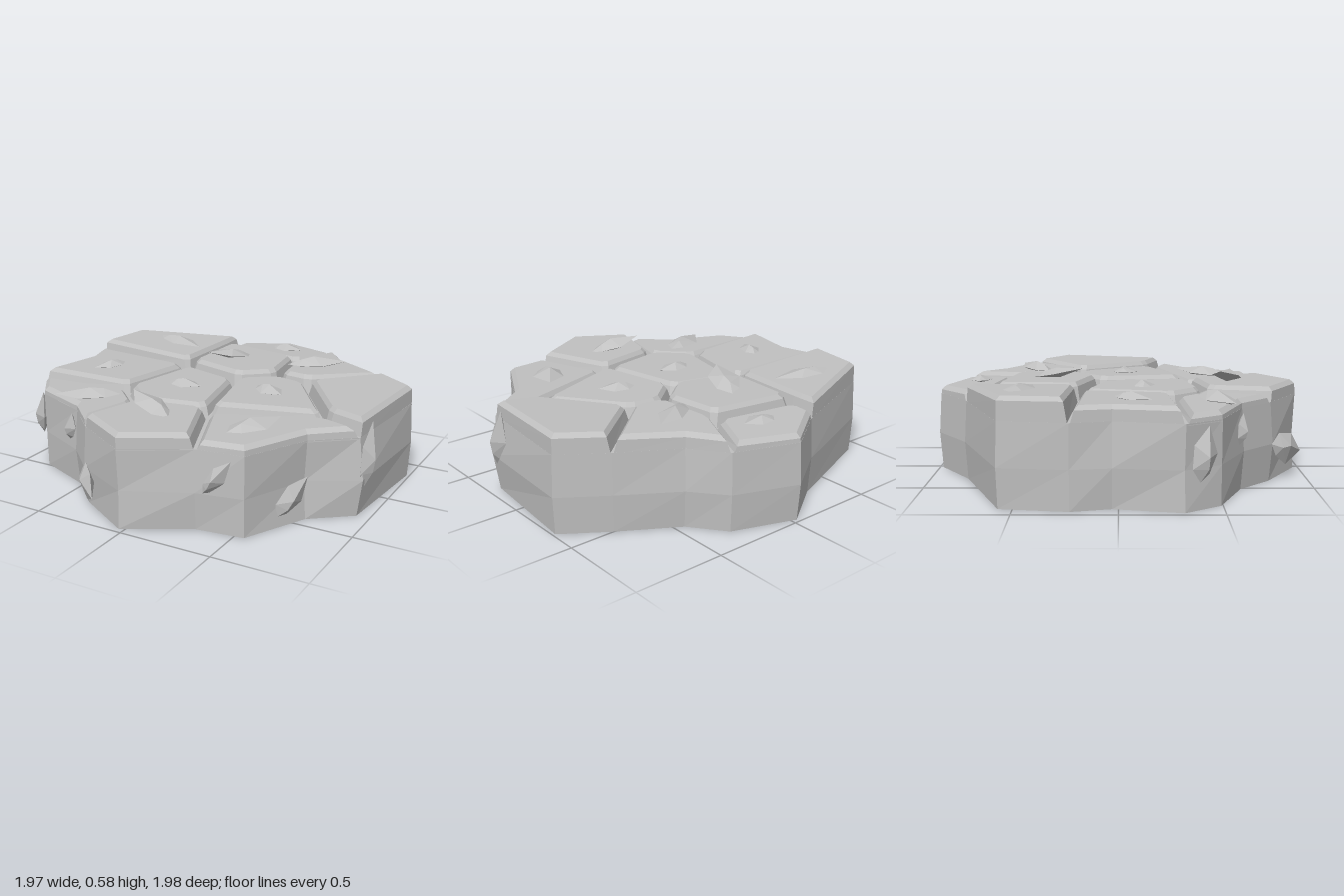
import * as THREE from 'three';
import { ConvexGeometry } from 'three/addons/geometries/ConvexGeometry.js';

const stone = new THREE.MeshStandardMaterial({ color: 0xc0c0c0 });
stone.name = 'grey stone';

// rim of the slab as [x, z], running back, +x, front, -x
const rim = [
  [-0.03, -0.98], [0.31, -0.86], [0.45, -0.68], [0.75, -0.5], [0.985, -0.34], [0.93, 0.27],
  [0.72, 0.43], [0.55, 0.76], [0.3, 0.79], [-0.03, 0.97], [-0.34, 0.79], [-0.52, 0.62],
  [-0.84, 0.49], [-0.97, 0.31], [-0.9, -0.03], [-0.95, -0.23], [-0.9, -0.57], [-0.3, -0.8],
];
// how far the wall bulges at mid height, per rim point
const bulge = [0.015, 0.01, 0.02, 0.01, 0.01, 0.03, -0.02, 0, 0.02, -0.01, 0.02, 0.02, 0, -0.01, 0.02, 0, 0.01, 0.015];

// points where the cracks meet
const joints = {
  a: [-0.3, -0.67], b: [0.19, -0.59], c: [0.23, -0.25], d: [0.045, -0.1], e: [-0.325, -0.205],
  f: [-0.43, 0.28], g: [-0.25, 0.455], h: [0.14, 0.385], i: [0.71, 0.19], j: [0.42, -0.22],
};

// paving cells: corners (numbers = rim, letters = joints), height, slope in x and z
const cells = [
  ['back', [17, 0, 1, 'b', 'a'], 0.475, 0, 0.06],
  ['backRight', [17, 'a', 'e', 15, 16], 0.525, -0.04, 0],
  ['innerBack', ['a', 'b', 'c', 'd', 'e'], 0.515, 0, 0],
  ['backLeft', [1, 2, 3, 'j', 'c', 'b'], 0.505, 0, 0.03],
  ['left', [3, 4, 5, 'i', 'j'], 0.515, 0.02, -0.02],
  ['innerLeft', ['c', 'j', 'i', 'h', 'd'], 0.495, -0.02, 0],
  ['centre', ['e', 'd', 'h', 'g', 'f'], 0.485, 0, 0],
  ['right', [15, 'e', 'f', 13, 14], 0.495, -0.02, 0],
  ['frontRight', [13, 'f', 'g', 10, 11, 12], 0.465, 0.01, 0],
  ['front', ['g', 'h', 8, 9, 10], 0.495, 0, 0.01],
  ['frontLeft', ['h', 'i', 5, 6, 7, 8], 0.47, 0.02, 0],
];

// joins stacked rings of [x, y, z] into a closed flat-shaded solid
function loft(rings) {
  const pos = [];
  const tri = (...pts) => pts.forEach((p) => pos.push(...p));
  for (let r = 0; r < rings.length - 1; r++) {
    const lo = rings[r], hi = rings[r + 1];
    lo.forEach((p, i) => {
      const j = (i + 1) % lo.length;
      tri(p, hi[i], lo[j]);
      tri(lo[j], hi[i], hi[j]);
    });
  }
  const cap = (ring, up) => {
    const flat = ring.map((p) => new THREE.Vector2(p[0], p[2]));
    for (const [a, b, c] of THREE.ShapeUtils.triangulateShape(flat, [])) {
      if (up) tri(ring[a], ring[c], ring[b]);
      else tri(ring[a], ring[b], ring[c]);
    }
  };
  cap(rings[0], false);
  cap(rings[rings.length - 1], true);
  const geo = new THREE.BufferGeometry();
  geo.setAttribute('position', new THREE.Float32BufferAttribute(pos, 3));
  geo.computeVertexNormals();
  return geo;
}

// moves each edge inward by its own distance; corners between two cracks are cut off
function inset(pts, isRim, rimDist, crackDist, cut) {
  const n = pts.length;
  const dir = pts.map((p, i) => {
    const q = pts[(i + 1) % n], l = Math.hypot(q[0] - p[0], q[1] - p[1]);
    return [(q[0] - p[0]) / l, (q[1] - p[1]) / l];
  });
  return pts.flatMap((p, i) => {
    const k = (i + n - 1) % n, u = dir[k], v = dir[i];
    const du = isRim[k] ? rimDist : crackDist, dv = isRim[i] ? rimDist : crackDist;
    const s = u[0] * v[1] - u[1] * v[0];
    const x = p[0] + (v[0] * du - u[0] * dv) / s;
    const z = p[1] + (v[1] * du - u[1] * dv) / s;
    if (isRim[k] || isRim[i]) return [[x, z]];
    return [[x - u[0] * cut, z - u[1] * cut], [x + v[0] * cut, z + v[1] * cut]];
  });
}

function cellGeometry(keys, height, sx, sz) {
  const n = keys.length;
  const pts = keys.map((k) => (typeof k === 'number' ? rim[k] : joints[k]));
  const isRim = keys.map((k, i) => typeof k === 'number' && typeof keys[(i + 1) % n] === 'number');
  const cx = pts.reduce((s, p) => s + p[0], 0) / n, cz = pts.reduce((s, p) => s + p[1], 0) / n;
  const top = (p, drop) => [p[0], height + sx * (p[0] - cx) + sz * (p[1] - cz) - drop, p[1]];
  return loft([
    inset(pts, isRim, 0, 0.005, 0.02).map((p) => [p[0], 0.41, p[1]]),
    inset(pts, isRim, 0.003, 0.024, 0.025).map((p) => top(p, 0.022)),
    inset(pts, isRim, 0.026, 0.042, 0.025).map((p) => top(p, 0)),
  ]);
}

// faceted chip lying from tail to tip, raised along the given outward direction
function shardGeometry(tail, tip, width, rise, outward) {
  const a = new THREE.Vector3(...tail), b = new THREE.Vector3(...tip);
  const mid = a.clone().add(b).multiplyScalar(0.5);
  const along = b.sub(a).multiplyScalar(0.5);
  const side = new THREE.Vector3(...outward).cross(along).normalize();
  const up = along.clone().cross(side).normalize();
  side.multiplyScalar(width / 2);
  up.multiplyScalar(rise);
  const form = [
    [1, 0.1, 0], [0.25, 0, 0.9], [-0.6, 0, 0.75], [-1, 0, 0], [-0.65, 0, -0.6],
    [0.1, 0, -1], [-0.1, 1, 0.1], [-0.5, 0.75, -0.1], [0, -0.8, 0],
  ];
  return new ConvexGeometry(form.map(([l, u, s]) =>
    mid.clone().addScaledVector(along, l).addScaledVector(up, u).addScaledVector(side, s)));
}

// chips on top: tail, tip, width, rise
const topShards = [
  [[-0.05, 0.49, -0.77], [0.14, 0.49, -0.76], 0.13, 0.025],
  [[-0.72, 0.53, -0.53], [-0.39, 0.515, -0.44], 0.16, 0.03],
  [[-0.06, 0.515, -0.46], [-0.19, 0.575, -0.19], 0.18, 0.03],
  [[0.22, 0.51, -0.4], [0.51, 0.52, -0.57], 0.14, 0.04],
  [[-0.65, 0.5, -0.02], [-0.74, 0.495, 0.16], 0.12, 0.03],
  [[-0.25, 0.485, 0.13], [-0.05, 0.485, 0.13], 0.13, 0.03],
  [[0.23, 0.5, 0], [0.41, 0.495, 0.08], 0.14, 0.03],
  [[-0.38, 0.475, 0.42], [-0.7, 0.465, 0.57], 0.16, 0.04],
  [[0.06, 0.49, 0.64], [-0.21, 0.56, 0.54], 0.16, 0.04],
  [[0.38, 0.465, 0.63], [0.54, 0.485, 0.35], 0.18, 0.04],
];
// chips on the walls: tail, tip, width, rise, outward direction
const wallShards = [
  [[-0.95, 0.14, 0.38], [-0.9, 0.4, 0.42], 0.16, 0.05, [-0.8, 0, 0.6]],
  [[-0.59, 0.24, 0.6], [-0.55, 0.4, 0.62], 0.09, 0.04, [-0.4, 0, 0.9]],
  [[-0.36, 0.2, 0.8], [-0.17, 0.13, 0.98], 0.18, 0.04, [-0.5, 0, 0.85]],
  [[0.33, 0.19, 0.79], [0.49, 0.39, 0.78], 0.09, 0.04, [0.1, 0, 1]],
  [[0.63, 0.05, 0.58], [0.73, 0.24, 0.44], 0.14, 0.04, [0.88, 0, 0.46]],
  [[0.95, 0.15, 0.25], [0.95, 0.48, 0.17], 0.15, 0.05, [1, 0, 0.1]],
];

export function createModel() {
  const group = new THREE.Group();
  const add = (name, geo) => {
    const mesh = new THREE.Mesh(geo, stone);
    mesh.name = name;
    group.add(mesh);
  };

  // solid slab; its top is the floor of the cracks
  const ring = (y, amount) => rim.map(([x, z], i) => [x * (1 + bulge[i] * amount), y, z * (1 + bulge[i] * amount)]);
  add('slabBody', loft([ring(0, 0), ring(0.2, 1), ring(0.42, 0)]));

  // bevelled paving cells
  for (const [name, ...spec] of cells) add(name + 'Paver', cellGeometry(...spec));

  // stone chips
  topShards.forEach((s, i) => add('topShard' + (i + 1), shardGeometry(...s, [0, 1, 0])));
  wallShards.forEach((s, i) => add('wallShard' + (i + 1), shardGeometry(...s)));
  return group;
}
